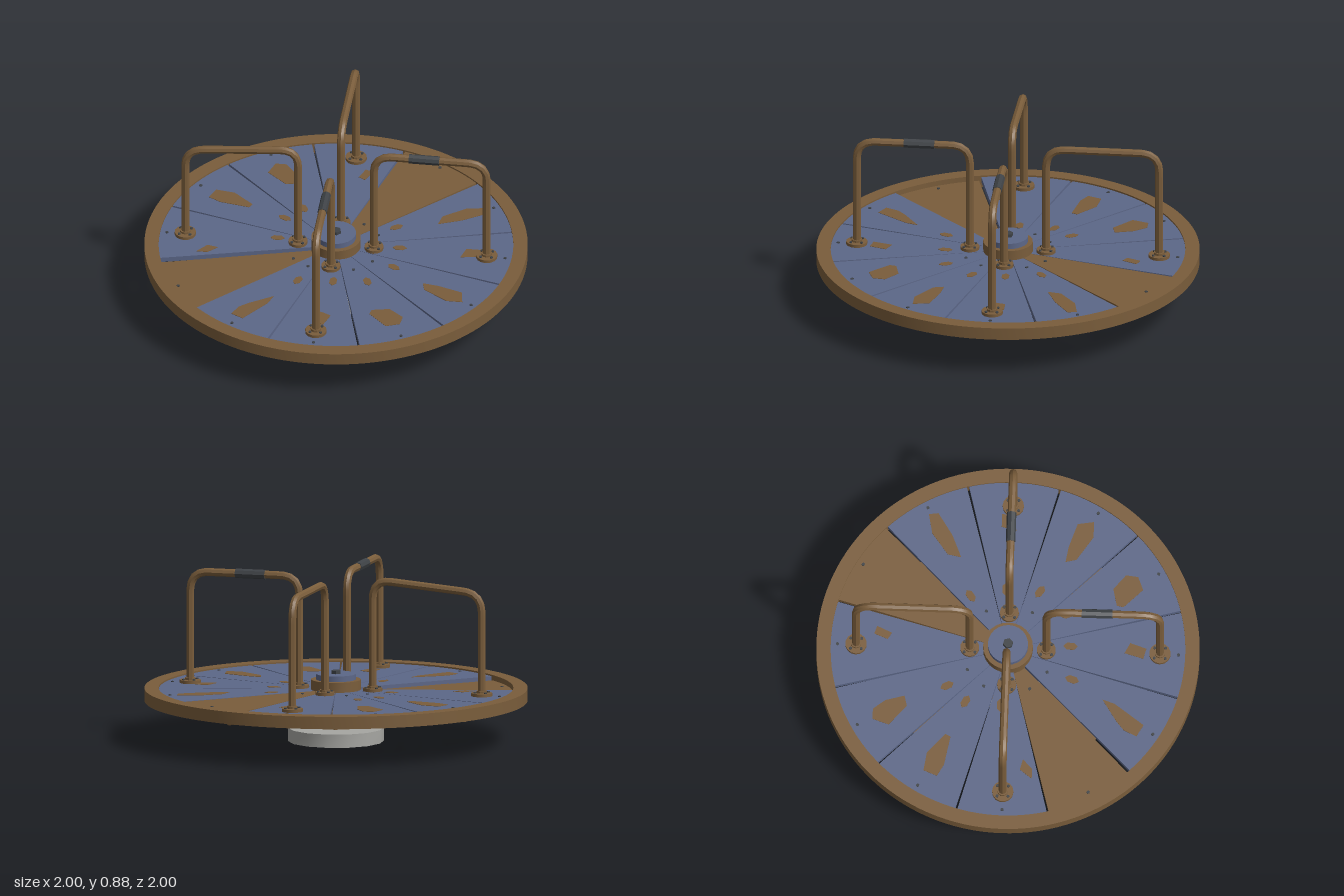
import * as THREE from 'three';
import { toCreasedNormals } from 'three/addons/utils/BufferGeometryUtils.js';

const material = (name, color) => {
  const m = new THREE.MeshStandardMaterial({ color });
  m.name = name;
  return m;
};

export function createModel() {
  const rust = material('rusty steel', 0x7a5d3b);
  const blue = material('faded blue paint', 0x5c6788);
  const dark = material('dark rubber', 0x3e4246);
  const grey = material('concrete', 0xa6a6a2);
  const model = new THREE.Group();
  model.name = 'playgroundRoundabout';

  const add = (name, geo, mat, parent = model) => {
    const mesh = new THREE.Mesh(toCreasedNormals(geo, 0.5), mat);
    mesh.name = name;
    parent.add(mesh);
    return mesh;
  };
  const disc = (name, r, y0, y1, sides, mat, parent = model, x = 0, z = 0) => {
    const geo = new THREE.CylinderGeometry(r, r, y1 - y0, sides);
    return add(name, geo.translate(x, (y0 + y1) / 2, z), mat, parent);
  };
  // Extrudes a plan shape upward; shape y points to the back
  const slab = (name, shape, y0, y1, mat, segments = 8) => {
    const geo = new THREE.ExtrudeGeometry(shape, { depth: y1 - y0, bevelEnabled: false, curveSegments: segments });
    return add(name, geo.rotateX(-Math.PI / 2).translate(0, y0, 0), mat);
  };

  // Outer rim
  const ring = new THREE.Shape().absarc(0, 0, 1, 0, Math.PI * 2);
  ring.holes.push(new THREE.Path().absarc(0, 0, 0.925, 0, Math.PI * 2, true));
  slab('rim', ring, 0.215, 0.28, rust, 64);

  // Twelve deck panels, two bare, one of them sunken
  const deckTop = 0.272;
  for (let i = 0; i < 12; i++) {
    const a = i * Math.PI / 6 + 0.0065, b = (i + 1) * Math.PI / 6 - 0.0065;
    const panel = new THREE.Shape();
    panel.absarc(0, 0, 0.927, a, b, false);
    panel.absarc(0, 0, 0.12, b, a, true);
    panel.closePath();
    const bare = i === 3 || i === 8;
    const drop = i === 8 ? 0.02 : 0;
    slab('deckPanel', panel, 0.245 - drop, deckTop - drop, bare ? rust : blue);
    const mid = (a + b) / 2;
    for (const r of [0.89, 0.24]) {
      disc('deckBolt', 0.009, deckTop - drop, deckTop - drop + 0.004, 6, rust === blue ? rust : dark, model,
        r * Math.cos(mid), -r * Math.sin(mid));
    }
  }

  // Thin joining strips below the four main seams
  for (let i = 0; i < 4; i++) {
    const strip = new THREE.BoxGeometry(0.43, 0.008, 0.012).translate(0.455, 0.248, 0);
    add('seamStrip', strip.rotateY(i * Math.PI / 2), rust);
  }

  // Rust patches, as plan outlines in x, z
  const patches = [
    [0.13, -0.6, 0.15, -0.74, 0.21, -0.83, 0.25, -0.8, 0.22, -0.66, 0.17, -0.54],
    [0.55, -0.15, 0.62, -0.2, 0.74, -0.26, 0.81, -0.21, 0.75, -0.15, 0.6, -0.12],
    [0.58, 0.21, 0.63, 0.13, 0.73, 0.12, 0.77, 0.17, 0.74, 0.24, 0.6, 0.24],
    [0.14, 0.68, 0.17, 0.54, 0.2, 0.6, 0.23, 0.79, 0.16, 0.81, 0.135, 0.74],
    [-0.78, -0.2, -0.74, -0.24, -0.66, -0.23, -0.57, -0.18, -0.6, -0.13, -0.74, -0.12],
    [-0.78, 0.19, -0.75, 0.26, -0.68, 0.24, -0.55, 0.15, -0.56, 0.12, -0.7, 0.13],
    [0.44, -0.52, 0.49, -0.57, 0.53, -0.52, 0.48, -0.45],
    [0.43, 0.43, 0.49, 0.41, 0.53, 0.49, 0.48, 0.52],
    [-0.41, 0.53, -0.36, 0.5, -0.36, 0.57, -0.4, 0.61],
    [-0.45, -0.54, -0.41, -0.56, -0.38, -0.48, -0.42, -0.47],
  ];
  const spots = [[0.06, -0.35, 1.4], [0.34, -0.12, 0.2], [0.36, 0.07, -0.4], [0.13, 0.35, -1.1],
    [-0.37, -0.07, -0.3], [-0.36, 0.06, 0.3], [0.22, -0.25, 0.8], [0.25, 0.21, -0.8], [-0.24, 0.2, 0.8]];
  for (const [x, z, turn] of spots) {
    const outline = [];
    for (let k = 0; k < 6; k++) {
      const u = 0.038 * Math.cos(k * Math.PI / 3), v = 0.022 * Math.sin(k * Math.PI / 3);
      outline.push(x + u * Math.cos(turn) - v * Math.sin(turn), z - u * Math.sin(turn) - v * Math.cos(turn));
    }
    patches.push(outline);
  }
  for (const p of patches) {
    const points = [];
    for (let k = 0; k < p.length; k += 2) points.push(new THREE.Vector2(p[k], -p[k + 1]));
    slab('rustPatch', new THREE.Shape(points), deckTop, deckTop + 0.002, rust);
  }

  // Concrete base, bearing and central hub
  disc('base', 0.25, 0, 0.07, 14, grey);
  disc('bearingNeck', 0.08, 0.07, 0.085, 12, rust);
  disc('bearingHousing', 0.145, 0.08, 0.17, 12, rust);
  disc('spindle', 0.075, 0.165, 0.26, 12, dark);
  disc('hubCollar', 0.13, 0.23, 0.325, 24, rust);
  disc('hubCap', 0.105, 0.32, 0.355, 24, blue);
  disc('hubBolt', 0.027, 0.355, 0.372, 6, dark);

  // Four support arms rising outward below the deck
  for (let i = 0; i < 4; i++) {
    const arm = new THREE.Group();
    arm.name = 'supportArm';
    arm.rotation.y = 0.384 + i * Math.PI / 2;
    const beam = add('armTube', new THREE.CylinderGeometry(0.03, 0.03, 0.82, 8), rust, arm);
    beam.position.set(0.465, 0.203, 0);
    beam.rotation.z = -Math.PI / 2 + 0.027;
    model.add(arm);
  }

  // Hand rails along the diagonals: inner leg, bent top and outer leg
  const inner = 0.2, outer = 0.793, bend = 0.1;
  const railPath = (sag) => {
    const v = (x, y) => new THREE.Vector3(x, y, 0);
    const slope = -sag / (outer - inner);
    const topIn = 0.86, topOut = 0.86 - sag;
    const path = new THREE.CurvePath();
    const parts = [
      [v(inner, deckTop), v(inner, topIn - bend)],
      [v(inner, topIn - bend), v(inner, topIn), v(inner + bend, topIn + slope * bend)],
      [v(inner + bend, topIn + slope * bend), v(outer - bend, topOut - slope * bend)],
      [v(outer - bend, topOut - slope * bend), v(outer, topOut), v(outer, topOut - bend)],
      [v(outer, topOut - bend), v(outer, deckTop)],
    ];
    for (const p of parts) {
      path.add(p.length === 2 ? new THREE.LineCurve3(...p) : new THREE.QuadraticBezierCurve3(...p));
    }
    return path;
  };
  for (let i = 0; i < 4; i++) {
    const rail = new THREE.Group();
    rail.name = 'handRail';
    rail.rotation.y = Math.PI / 4 + i * Math.PI / 2;
    const bent = i === 2; // the rail at the front right is bent down
    add('railTube', new THREE.TubeGeometry(railPath(bent ? 0.05 : 0), 48, 0.021, 8), rust, rail);
    for (const [x, r] of [[inner, 0.05], [outer, 0.056]]) {
      disc('footPlate', r, 0.262, 0.288, 14, rust, rail, x);
      disc('footSocket', 0.028, 0.288, 0.3, 10, rust, rail, x);
      for (let k = 0; k < 4; k++) {
        const t = Math.PI / 4 + k * Math.PI / 2;
        disc('footBolt', 0.008, 0.288, 0.294, 6, dark, rail, x + 0.04 * Math.cos(t), 0.04 * Math.sin(t));
      }
    }
    // Rubber grips on the rails of the model's left side
    if (i === 0 || i === 3) {
      const grip = new THREE.CylinderGeometry(0.025, 0.025, 0.16, 8).rotateZ(Math.PI / 2);
      add('grip', grip.translate(0.465, 0.86, 0), dark, rail);
    }
    model.add(rail);
  }
  return model;
}
